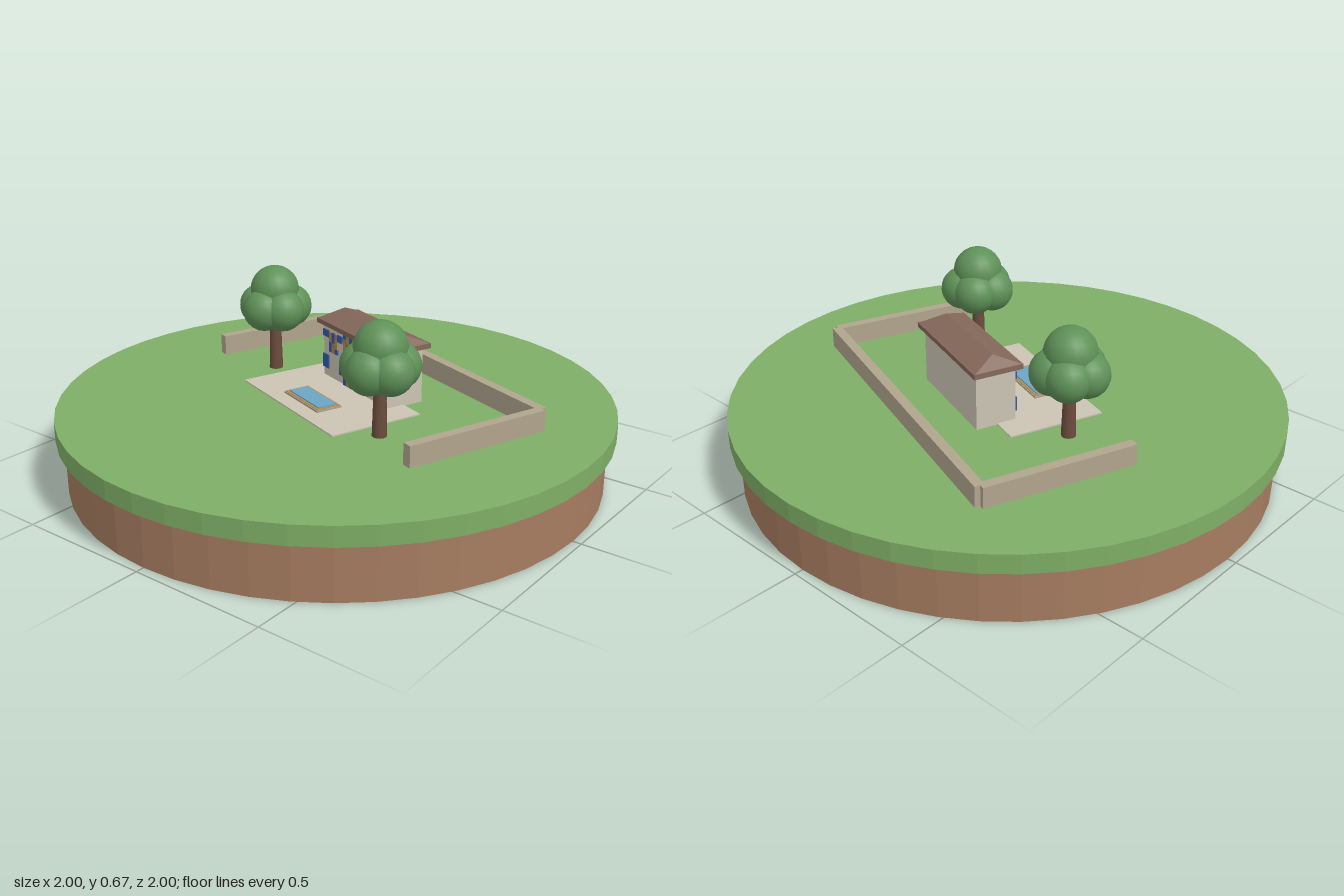
import * as THREE from 'three';

const mat = (name, color, opts = {}) => Object.assign(new THREE.MeshStandardMaterial({ color, ...opts }), { name });

export function createModel() {
  const M = {
    grass: mat('grass green', 0x7fae66, { flatShading: true }),
    soil: mat('soil brown', 0xa67c60, { flatShading: true }),
    bark: mat('bark brown', 0x6b4c3e),
    leaf: mat('leaf green', 0x5f9158),
    stone: mat('wall stone', 0xb0a48c),
    cream: mat('cream plaster', 0xcbc4b4),
    roof: mat('roof brown', 0x84685a),
    blue: mat('tile blue', 0x3459a8),
    water: mat('water blue', 0x6aa5c4),
    gold: mat('tile gold', 0xb08c50),
  };
  const model = new THREE.Group();
  model.name = 'gardenIsland';

  const add = (parent, name, geo, material, x = 0, y = 0, z = 0) => {
    const m = new THREE.Mesh(geo, material);
    m.name = name;
    m.position.set(x, y, z);
    parent.add(m);
    return m;
  };
  // box given by its centre in x and z and its lowest and highest y
  const box = (parent, name, material, w, d, y0, y1, x, z) =>
    add(parent, name, new THREE.BoxGeometry(w, y1 - y0, d), material, x, (y0 + y1) / 2, z);

  // round base
  add(model, 'soilDisc', new THREE.CylinderGeometry(0.97, 0.97, 0.2, 48), M.soil, 0, 0.1, 0);
  add(model, 'grassDisc', new THREE.CylinderGeometry(1, 1, 0.07, 48), M.grass, 0, 0.235, 0);

  // everything on the lawn is turned together
  const yard = new THREE.Group();
  yard.name = 'yard';
  yard.rotation.y = -Math.PI / 9;
  model.add(yard);
  const G = 0.27;

  // paving and pool
  box(yard, 'paving', M.cream, 0.62, 0.36, G - 0.01, G + 0.005, 0, 0.03);
  box(yard, 'poolBasin', M.stone, 0.23, 0.1, G, G + 0.012, 0, 0.1);
  box(yard, 'poolRim', M.gold, 0.222, 0.092, G + 0.01, G + 0.014, 0, 0.1);
  box(yard, 'poolWater', M.water, 0.2, 0.072, G + 0.01, G + 0.018, 0, 0.1);

  // boundary wall, open at the front
  box(yard, 'backWall', M.stone, 1.26, 0.036, G, 0.346, 0, -0.422);
  for (const s of [-1, 1]) box(yard, 'sideWall', M.stone, 0.036, 0.555, G, 0.346, s * 0.63, -0.143);

  // house
  const house = new THREE.Group();
  house.name = 'house';
  house.position.z = -0.154;
  yard.add(house);
  box(house, 'houseWalls', M.cream, 0.42, 0.15, G, 0.478, 0, 0);
  box(house, 'eaves', M.roof, 0.47, 0.184, 0.477, 0.495, 0, 0);

  // hipped roof: the top of a box drawn in to a ridge
  const hip = new THREE.BoxGeometry(0.46, 0.036, 0.174);
  const p = hip.attributes.position;
  for (let i = 0; i < p.count; i++) {
    if (p.getY(i) > 0) p.setXYZ(i, Math.sign(p.getX(i)) * 0.185, 0.018, 0);
  }
  hip.computeVertexNormals();
  add(house, 'hippedRoof', hip, M.roof, 0, 0.513, 0);

  // painted tiles on the front
  const front = 0.0775;
  const tiles = (name, x0, x1, y0, y1, cols, rows, colours) => {
    const w = (x1 - x0) / cols, h = (y1 - y0) / rows;
    for (let c = 0; c < cols; c++) for (let r = 0; r < rows; r++) {
      box(house, name, colours[(c + r * 2) % colours.length], w, 0.005,
        y0 + r * h, y0 + (r + 1) * h, x0 + (c + 0.5) * w, front);
    }
  };
  const mosaic = [M.blue, M.gold, M.blue, M.soil, M.gold];
  tiles('doorMosaic', -0.07, 0.07, G + 0.005, 0.474, 7, 11, mosaic);
  for (const s of [-1, 1]) {
    const span = (a, b) => (s > 0 ? [a, b] : [-b, -a]);
    tiles('windowMosaic', ...span(0.11, 0.168), 0.377, 0.455, 3, 4, mosaic);
    tiles('upperPanel', ...span(0.168, 0.21), 0.43, 0.457, 1, 1, [M.blue]);
    tiles('upperPanel', ...span(0.08, 0.11), 0.43, 0.457, 1, 1, [M.blue]);
    tiles('lowerPanel', ...span(0.172, 0.21), 0.307, 0.36, 1, 1, [M.blue]);
    tiles('lowerPanel', ...span(0.07, 0.097), 0.307, 0.36, 1, 1, [M.blue]);
  }

  // trees: five crowns around a higher one
  for (const [x, z] of [[-0.383, 0.033], [0.384, 0.07]]) {
    const tree = new THREE.Group();
    tree.name = 'tree';
    tree.position.set(x, 0, z);
    yard.add(tree);
    add(tree, 'trunk', new THREE.CylinderGeometry(0.02, 0.026, 0.22, 12), M.bark, 0, G + 0.11, 0);
    add(tree, 'topCrown', new THREE.SphereGeometry(0.092, 20, 14), M.leaf, 0, 0.582, 0);
    for (let i = 0; i < 5; i++) {
      const a = (i * 2 * Math.PI) / 5;
      add(tree, 'sideCrown', new THREE.SphereGeometry(0.08, 20, 14), M.leaf,
        0.06 * Math.cos(a), 0.515, 0.06 * Math.sin(a));
    }
  }
  return model;
}
